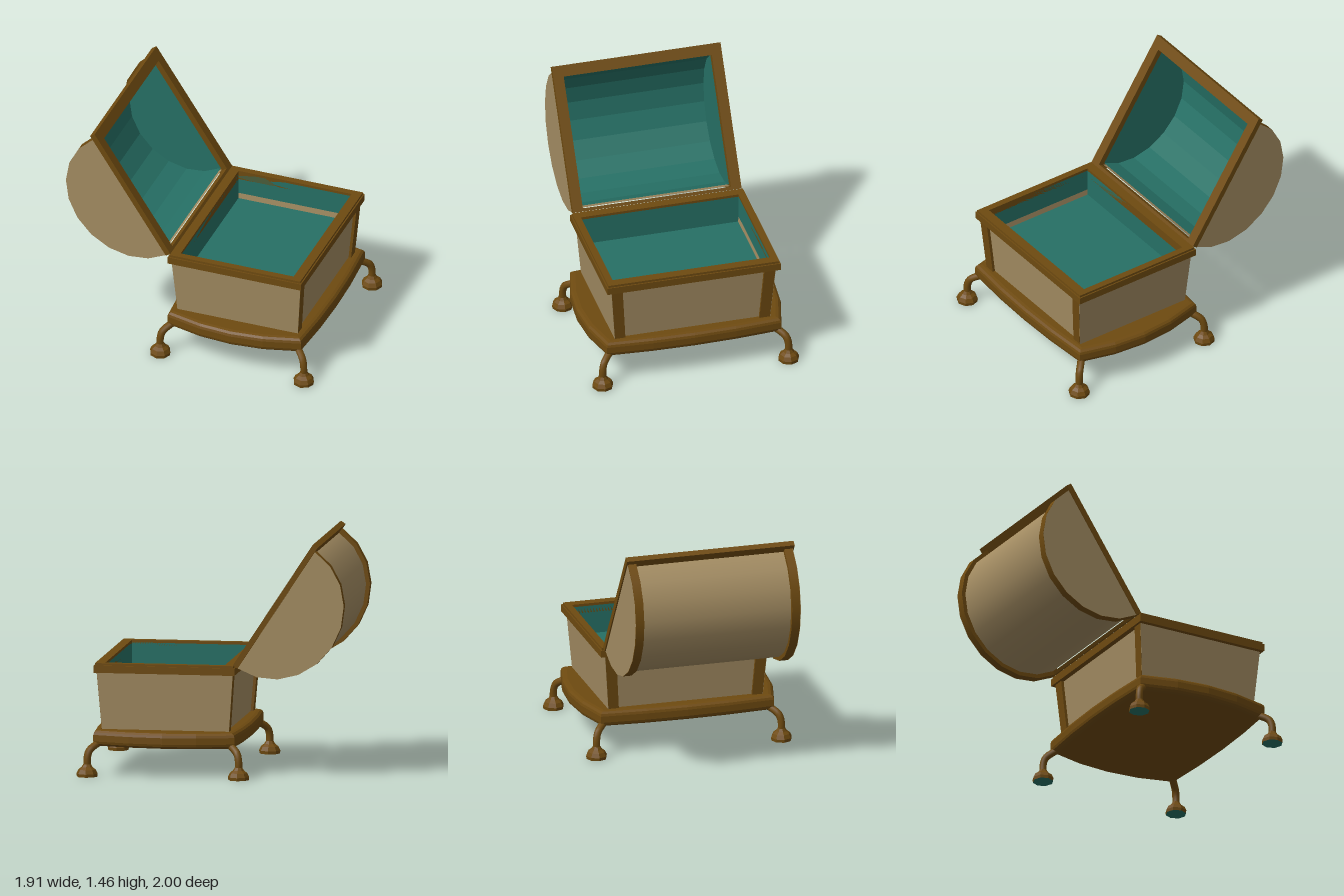
import * as THREE from 'three';

const mat = (name, color) => {
  const m = new THREE.MeshStandardMaterial({ color });
  m.name = name;
  return m;
};

export function createModel() {
  const gold = mat('antique gold', 0x6e4a10);
  const tan = mat('tan panel', 0xa38c62);
  const teal = mat('teal lining', 0x267065);
  teal.side = THREE.DoubleSide;
  tan.side = THREE.DoubleSide;

  const add = (parent, name, geo, material) => {
    const m = new THREE.Mesh(geo, material);
    m.name = name;
    parent.add(m);
    return m;
  };

  const box = (x0, x1, y0, y1, z0, z1) =>
    new THREE.BoxGeometry(x1 - x0, y1 - y0, z1 - z0)
      .translate((x0 + x1) / 2, (y0 + y1) / 2, (z0 + z1) / 2);

  // Narrows the body towards its foot
  const taper = (geo) => {
    const p = geo.attributes.position;
    for (let i = 0; i < p.count; i++) {
      const t = (0.64 - p.getY(i)) / 0.36;
      p.setX(i, p.getX(i) * (1 - 0.055 * t));
      p.setZ(i, p.getZ(i) * (1 - 0.066 * t));
    }
    geo.computeVertexNormals();
    return geo;
  };

  const rect = (path, x0, x1, y0, y1) =>
    path.moveTo(x0, y0).lineTo(x1, y0).lineTo(x1, y1).lineTo(x0, y1).closePath();

  // Rectangular frame lying in the xy plane
  const frame = (outer, inner, depth) => {
    const s = rect(new THREE.Shape(), ...outer);
    s.holes.push(rect(new THREE.Path(), ...inner));
    return new THREE.ExtrudeGeometry(s, { depth, bevelEnabled: false });
  };

  const model = new THREE.Group();
  model.name = 'openChest';
  const chest = new THREE.Group();
  chest.name = 'chest';
  chest.position.set(0.13, 0, 0.207);
  chest.rotation.y = 0.646;
  model.add(chest);

  // Bowed base plate with rounded edges
  const bow = new THREE.Shape();
  bow.moveTo(-0.525, -0.405);
  bow.quadraticCurveTo(0, -0.455, 0.525, -0.405);
  bow.quadraticCurveTo(0.665, 0, 0.525, 0.405);
  bow.quadraticCurveTo(0, 0.455, -0.525, 0.405);
  bow.quadraticCurveTo(-0.665, 0, -0.525, -0.405);
  const base = new THREE.ExtrudeGeometry(bow, {
    depth: 0.04, bevelThickness: 0.03, bevelSize: 0.035, bevelSegments: 3, curveSegments: 4,
  });
  base.rotateX(-Math.PI / 2).translate(0, 0.213, 0);
  add(chest, 'base', base, gold);

  // Tapered body: end panels, long panels, corner posts
  for (const s of [-1, 1]) {
    const end = taper(box(0.508, 0.522, 0.27, 0.65, -0.422, 0.422));
    add(chest, 'endPanel', end, tan).rotation.y = s > 0 ? 0 : Math.PI;
    const long = taper(box(-0.47, 0.47, 0.27, 0.65, 0.385, 0.405));
    add(chest, 'longPanel', long, tan).rotation.y = s > 0 ? 0 : Math.PI;
    for (const x of [-1, 1]) {
      const x0 = x > 0 ? 0.45 : -0.52;
      const post = taper(box(x0, x0 + 0.07, 0.27, 0.65, 0.38, 0.423));
      add(chest, 'cornerPost', post, gold).rotation.y = s > 0 ? 0 : Math.PI;
    }
    // Inner lining
    add(chest, 'endLining', box(s * 0.504 - 0.004, s * 0.504 + 0.004, 0.49, 0.68, -0.37, 0.37), teal);
    add(chest, 'longLining', box(-0.5, 0.5, 0.49, 0.68, s * 0.374 - 0.004, s * 0.374 + 0.004), teal);
  }
  add(chest, 'liningFloor', box(-0.5, 0.5, 0.485, 0.5, -0.372, 0.372), teal);

  // Stepped rim
  const hole = [-0.5, 0.5, -0.37, 0.37];
  add(chest, 'rim', frame([-0.55, 0.55, -0.437, 0.437], hole, 0.045)
    .rotateX(-Math.PI / 2).translate(0, 0.637, 0), gold);
  add(chest, 'rimCap', frame([-0.542, 0.542, -0.429, 0.429], hole, 0.014)
    .rotateX(-Math.PI / 2).translate(0, 0.682, 0), gold);

  // Curved legs with faceted feet and lined soles
  const curve = new THREE.CatmullRomCurve3([
    [0.5, 0.215, 0.385], [0.55, 0.187, 0.43], [0.578, 0.16, 0.458], [0.589, 0.12, 0.469], [0.59, 0.05, 0.47],
  ].map((p) => new THREE.Vector3(...p)));
  const footProfile = [[0.064, 0.001], [0.066, 0.02], [0.054, 0.045], [0.034, 0.06], [0.022, 0.08]]
    .map((p) => new THREE.Vector2(...p));
  for (const x of [-1, 1]) for (const z of [-1, 1]) {
    const leg = new THREE.Group();
    leg.name = 'leg';
    chest.add(leg);
    const pts = curve.points.map((p) => new THREE.Vector3(p.x * x, p.y, p.z * z));
    add(leg, 'legTube', new THREE.TubeGeometry(new THREE.CatmullRomCurve3(pts), 12, 0.023, 8), gold);
    const foot = new THREE.LatheGeometry(footProfile, 8).toNonIndexed();
    foot.computeVertexNormals();
    add(leg, 'foot', foot, gold).position.set(x * 0.59, 0, z * 0.47);
    const sole = new THREE.CircleGeometry(0.064, 8).rotateX(Math.PI / 2);
    add(leg, 'sole', sole, teal).position.set(x * 0.59, 0.001, z * 0.47);
  }

  // Open barrel lid, tilted back about the hinge line
  const lid = new THREE.Group();
  lid.name = 'lid';
  lid.position.set(0, 0.7, -0.425);
  lid.rotation.x = -0.58;
  chest.add(lid);
  add(lid, 'lidFrame', frame([-0.535, 0.535, 0, 0.905], [-0.47, 0.47, 0.02, 0.835], 0.035)
    .translate(0, 0, -0.035), gold);

  // Half barrel bulging towards -z
  const barrel = (length, ry, rz, open) =>
    new THREE.CylinderGeometry(1, 1, 1, 10, 1, open, Math.PI / 2, Math.PI)
      .rotateZ(Math.PI / 2).scale(length, ry, rz).translate(0, 0.437, -0.035);
  // Half disc closing a barrel end
  const halfDisc = (x, ry, rz) =>
    new THREE.CircleGeometry(1, 10, 0, Math.PI)
      .rotateZ(Math.PI / 2).rotateY(-Math.PI / 2).rotateX(0)
      .scale(1, ry, rz);
  const disc = (x, ry, rz) => {
    const g = halfDisc(x, ry, rz);
    // keep the bulge on the -z side
    g.computeBoundingBox();
    if (g.boundingBox.max.z > 0.01) g.rotateY(Math.PI);
    return g.translate(x, 0.437, -0.035);
  };

  add(lid, 'lidShell', barrel(0.96, 0.412, 0.385, true), tan);
  const lining = barrel(0.94, 0.4, 0.37, true).toNonIndexed();
  lining.computeVertexNormals();
  add(lid, 'lidLining', lining, teal);
  for (const s of [-1, 1]) {
    add(lid, 'lidBand', barrel(0.053, 0.437, 0.41, false).translate(s * 0.4985, 0, 0), gold);
    add(lid, 'lidEndPanel', disc(s * 0.527, 0.437, 0.41), tan);
    add(lid, 'lidEndLining', disc(s * 0.468, 0.4, 0.37), teal);
  }
  return model;
}
